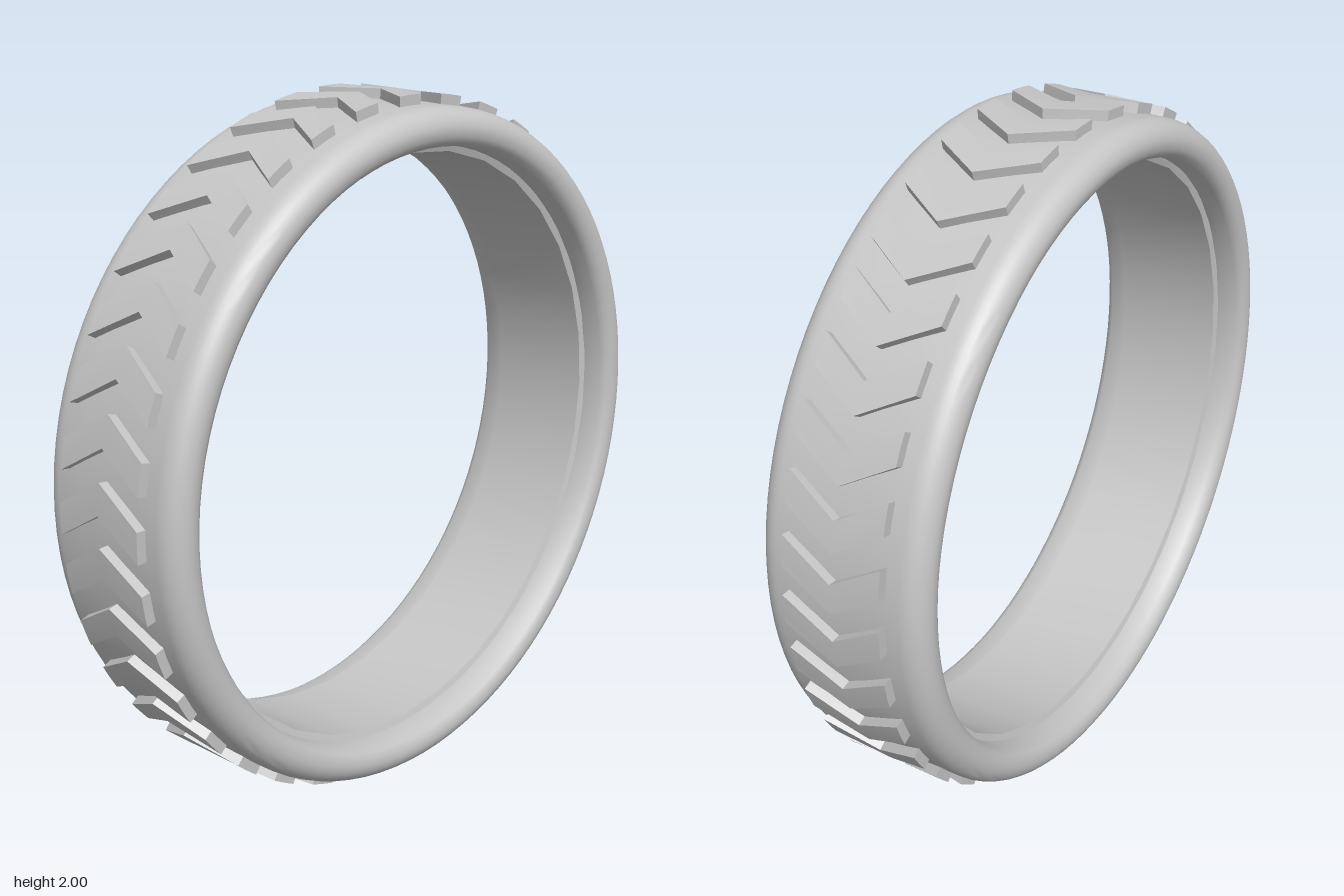
import * as THREE from 'three';
import { toCreasedNormals } from 'three/addons/utils/BufferGeometryUtils.js';

const TREADS = 36, TREAD_HALF_WIDTH = 0.147;

// One chevron block: a box bent around the wheel, its middle pushed forward
function chevronGeometry() {
  const geo = new THREE.BoxGeometry(1, 1, 1, 3, 1, 2);
  const p = geo.attributes.position;
  for (let i = 0; i < p.count; i++) {
    const z = p.getZ(i);
    const angle = 0.0125 + p.getX(i) * 0.087 + (1 - Math.abs(z) * 2) * 0.09;
    const r = p.getY(i) > 0 ? 1 : 0.955;
    p.setXYZ(i, r * Math.sin(angle), r * Math.cos(angle), z * 2 * TREAD_HALF_WIDTH);
  }
  return toCreasedNormals(geo, 0.5);
}

export function createModel() {
  const model = new THREE.Group();
  model.name = 'tyre';
  const rubber = new THREE.MeshStandardMaterial({ color: 0xc6c6c6 });
  rubber.name = 'light grey rubber';

  // Half of the carcass section, from tread face round the sidewall to the bead
  const half = [[0.972, 0.1], [0.972, 0.185]];
  for (let i = 1; i <= 8; i++) {
    const a = (i / 8) * Math.PI / 2;
    half.push([0.912 + 0.06 * Math.cos(a), 0.185 + 0.065 * Math.sin(a)]);
  }
  half.push([0.893, 0.247], [0.878, 0.238], [0.867, 0.222], [0.864, 0.16]);
  const section = [
    ...half.map(([r, z]) => [r, -z]).reverse(),
    ...half,
    [0.864, -0.16],
  ].map(([r, z]) => new THREE.Vector2(r, z));
  const carcass = new THREE.Mesh(
    toCreasedNormals(new THREE.LatheGeometry(section, 96), 0.6), rubber);
  carcass.name = 'carcass';
  carcass.rotation.x = Math.PI / 2;
  model.add(carcass);

  // Inner band with a small step at each edge
  const band = [[0.868, 0.165], [0.848, 0.158], [0.848, -0.158], [0.868, -0.165]]
    .map(([r, z]) => new THREE.Vector2(r, z));
  const innerBand = new THREE.Mesh(
    toCreasedNormals(new THREE.LatheGeometry(band, 32), 0.4), rubber);
  innerBand.name = 'innerBand';
  innerBand.rotation.x = Math.PI / 2;
  model.add(innerBand);

  // Chevron blocks around the tread
  const tread = new THREE.Group();
  tread.name = 'tread';
  const chevron = chevronGeometry();
  for (let i = 0; i < TREADS; i++) {
    const block = new THREE.Mesh(chevron, rubber);
    block.name = 'treadBlock';
    block.rotation.z = (i / TREADS) * Math.PI * 2;
    tread.add(block);
  }
  model.add(tread);

  for (const part of model.children) part.position.y = 1;
  return model;
}
